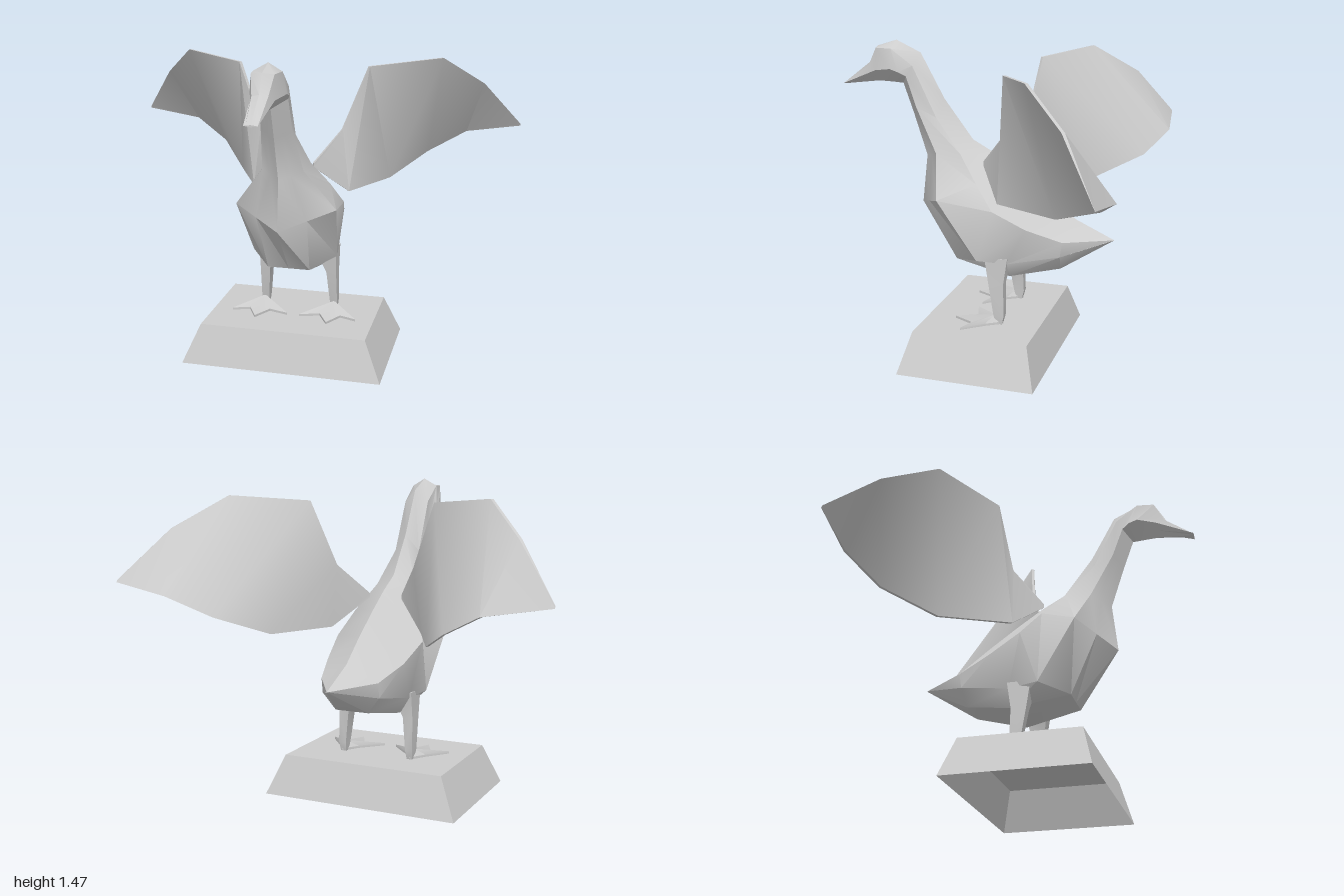
import * as THREE from 'three';
import { toCreasedNormals } from 'three/addons/utils/BufferGeometryUtils.js';

const stone = new THREE.MeshStandardMaterial({ color: 0xcccccc, side: THREE.DoubleSide });
stone.name = 'pale grey';

// Skin a list of rings; each ring runs clockwise as seen from the first ring.
function loft(name, rings, { capStart = true, capEnd = true, crease = 0.6 } = {}) {
  const n = rings[0].length, last = (rings.length - 1) * n, index = [];
  for (let i = 0; i < rings.length - 1; i++) {
    for (let j = 0; j < n; j++) {
      const a = i * n + j, b = i * n + (j + 1) % n;
      index.push(a, b, a + n, b, b + n, a + n);
    }
  }
  for (let j = 1; j < n - 1; j++) {
    if (capStart) index.push(0, j + 1, j);
    if (capEnd) index.push(last, last + j, last + j + 1);
  }
  const geometry = new THREE.BufferGeometry();
  geometry.setAttribute('position', new THREE.Float32BufferAttribute(rings.flat(2), 3));
  geometry.setIndex(index);
  const mesh = new THREE.Mesh(toCreasedNormals(geometry, crease), stone);
  mesh.name = name;
  return mesh;
}

// Horizontal rectangle, clockwise from above
const rect = (x, y, z, hx, hz) => [
  [x - hx, y, z - hz], [x + hx, y, z - hz], [x + hx, y, z + hz], [x - hx, y, z + hz],
];

// Body section: ridge [y,z], upper side [x,y,z], side [x,y,z], keel [y,z], optional flat keel half width
function bodyRing([top, upper, side, keel, flat]) {
  const low = flat
    ? [flat, keel[0], keel[1]]
    : [side[0] / 2, (side[1] + keel[0]) / 2, (side[2] + keel[1]) / 2];
  const flip = ([x, y, z]) => [-x, y, z];
  return [[0, ...top], upper, side, low, [0, ...keel], flip(low), flip(side), flip(upper)];
}

function makeBody() {
  const sections = [
    // bill
    [[1.262, 0.72], [0.02, 1.26, 0.72], [0.03, 1.258, 0.72], [1.253, 0.72]],
    [[1.36, 0.595], [0.035, 1.35, 0.585], [0.052, 1.33, 0.545], [1.275, 0.545]],
    // head
    [[1.44, 0.55], [0.05, 1.435, 0.54], [0.08, 1.343, 0.46], [1.272, 0.47]],
    [[1.47, 0.455], [0.062, 1.435, 0.46], [0.08, 1.33, 0.42], [1.27, 0.44]],
    [[1.415, 0.335], [0.06, 1.36, 0.355], [0.066, 1.31, 0.385], [1.27, 0.425]],
    // neck
    [[1.205, 0.22], [0.062, 1.125, 0.24], [0.07, 1.17, 0.335], [1.13, 0.375]],
    [[1.02, 0.08], [0.1, 0.97, 0.11], [0.095, 0.96, 0.23], [0.93, 0.31]],
    // chest, belly and tail
    [[0.96, -0.03], [0.17, 0.85, 0.01], [0.235, 0.775, 0.18], [0.70, 0.335]],
    [[0.88, -0.15], [0.218, 0.74, -0.08], [0.205, 0.495, 0], [0.46, 0.13], 0.1],
    [[0.78, -0.29], [0.19, 0.66, -0.23], [0.18, 0.485, -0.14], [0.41, -0.14], 0.13],
    [[0.675, -0.42], [0.14, 0.60, -0.39], [0.14, 0.53, -0.38], [0.455, -0.37], 0.08],
    [[0.592, -0.6], [0.002, 0.591, -0.6], [0.003, 0.59, -0.6], [0.588, -0.6]],
  ];
  return loft('body', sections.map(bodyRing));
}

// Wing: leading and trailing edge points from root to tip, given a thin depth
function makeWing() {
  const lead = [[0.09, 0.94, 0], [0.2, 1.08, -0.12], [0.315, 1.375, -0.16],
    [0.635, 1.4, -0.345], [0.82, 1.255, -0.54], [1, 1.03, -0.705]];
  const trail = [[0.09, 0.92, 0], [0.235, 0.785, -0.11], [0.385, 0.785, -0.415],
    [0.545, 0.88, -0.63], [0.73, 0.975, -0.725], [1, 1.02, -0.71]];
  const rings = lead.map((l, i) => {
    const t = i === lead.length - 1 ? 0.001 : 0.014;
    const w = trail[i], shift = ([x, y, z], s) => [x + s * 0.6 * t, y, z + s * 0.8 * t];
    return [shift(l, -1), l, w, shift(w, -1)];
  });
  return loft('wing', rings);
}

function makeLeg() {
  return loft('leg', [
    rect(0.14, 0.51, -0.09, 0.05, 0.055),
    rect(0.165, 0.385, -0.09, 0.024, 0.036),
    rect(0.172, 0.23, -0.105, 0.018, 0.025),
    rect(0.172, 0.187, -0.105, 0.014, 0.014),
  ]);
}

// Three-toed foot sloping down from the ankle
function makeFoot() {
  const outline = [[0.175, -0.125], [0.225, -0.05], [0.305, 0.045], [0.225, 0.015],
    [0.175, 0.11], [0.125, 0.015], [0.03, 0.045], [0.125, -0.05]];
  return loft('foot', [
    outline.map(() => [0.175, 0.23, -0.085]),
    outline.map(([x, z]) => [x, 0.198, z]),
    outline.map(([x, z]) => [x, 0.187, z]),
  ], { capStart: false });
}

export function createModel() {
  const model = new THREE.Group();
  model.name = 'waterfowl statue';

  // Hollow plinth, open underneath
  model.add(loft('plinth', [
    rect(-0.006, 0.187, -0.024, 0.394, 0.272),
    rect(-0.006, 0, -0.024, 0.475, 0.324),
  ], { capEnd: false, crease: 0.3 }));
  model.add(makeBody());

  // Paired limbs, mirrored across x
  for (const side of [1, -1]) {
    const limbs = new THREE.Group();
    limbs.name = side > 0 ? 'leftLimbs' : 'rightLimbs';
    limbs.add(makeWing(), makeLeg(), makeFoot());
    limbs.scale.x = side;
    model.add(limbs);
  }
  return model;
}
